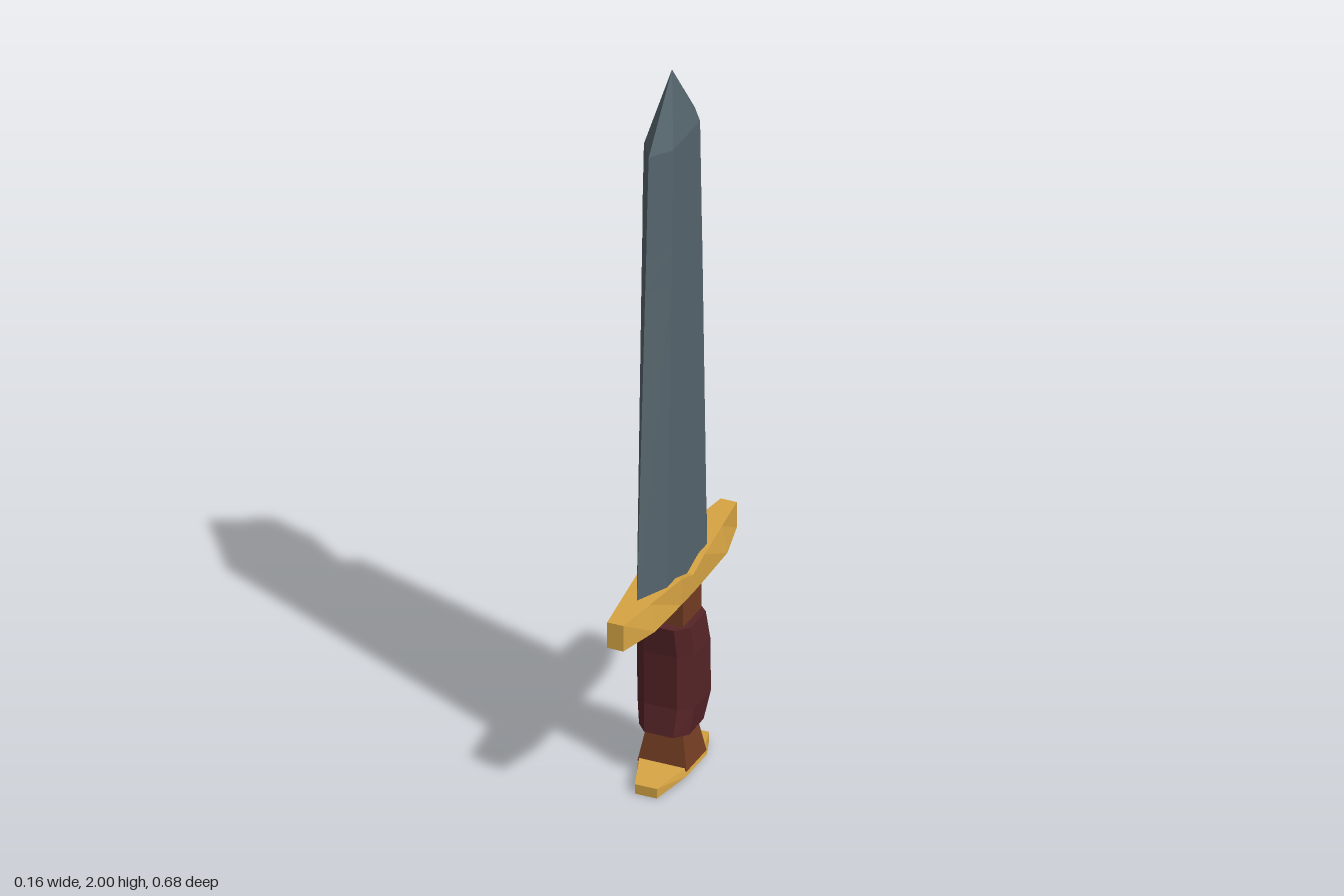
import * as THREE from 'three';

const material = (name, color) => {
  const m = new THREE.MeshStandardMaterial({ color, flatShading: true });
  m.name = name;
  return m;
};

// Skin a list of rings (counterclockwise seen from the end of the axis) and cap both ends.
function loft(rings) {
  const positions = [];
  const triangle = new THREE.Triangle();
  const add = (a, b, c) => {
    triangle.set(a, b, c);
    if (triangle.getArea() > 1e-8) for (const p of [a, b, c]) positions.push(p.x, p.y, p.z);
  };
  const n = rings[0].length;
  for (let i = 0; i < rings.length - 1; i++) {
    const lower = rings[i], upper = rings[i + 1];
    for (let j = 0; j < n; j++) {
      const k = (j + 1) % n;
      add(lower[j], lower[k], upper[k]);
      add(lower[j], upper[k], upper[j]);
    }
  }
  const first = rings[0], last = rings[rings.length - 1];
  for (let j = 1; j < n - 1; j++) {
    add(first[0], first[j + 1], first[j]);
    add(last[0], last[j], last[j + 1]);
  }
  const geometry = new THREE.BufferGeometry();
  geometry.setAttribute('position', new THREE.Float32BufferAttribute(positions, 3));
  geometry.computeVertexNormals();
  return geometry;
}

const v = (x, y, z) => new THREE.Vector3(x, y, z);

// Cross-sections
const bladeRing = ([y, hx, edgeF, flatF, flatB, edgeB]) => [
  v(0, y, edgeF), v(hx, y, flatF), v(hx, y, flatB),
  v(0, y, edgeB), v(-hx, y, flatB), v(-hx, y, flatF),
];
const boxRing = ([y, hx, hz]) => [v(-hx, y, hz), v(hx, y, hz), v(hx, y, -hz), v(-hx, y, -hz)];
const wrapRing = ([y, hx, front, back]) => {
  const f = front - 0.032, b = back + 0.03, c = hx * 0.58;
  return [
    v(-c, y, front), v(c, y, front), v(hx, y, f), v(hx, y, b),
    v(c, y, back), v(-c, y, back), v(-hx, y, b), v(-hx, y, f),
  ];
};
const barRing = ([z, bottomX, topX, bottom, top]) => [
  v(-bottomX, bottom, z), v(bottomX, bottom, z), v(topX, top, z), v(-topX, top, z),
];
// Mirror bar stations given from the centre outwards
const mirrorBar = (half) => [
  ...half.filter((s) => s[0] > 0).reverse().map(([z, ...rest]) => [-z, ...rest]),
  ...half,
].map(barRing);

export function createModel() {
  const group = new THREE.Group();
  group.name = 'dagger';
  const steel = material('steel', 0x55646c);
  const gold = material('gold', 0xd6a443);
  const wood = material('brown wood', 0x743d23);
  const leather = material('dark red leather', 0x562427);

  const addPart = (name, rings, mat) => {
    const mesh = new THREE.Mesh(loft(rings), mat);
    mesh.name = name;
    group.add(mesh);
  };

  // Tapered blade with a chip in its back edge
  addPart('blade', [
    [0.55, 0.041, 0.211, 0.12, -0.12, -0.211],
    [1.44, 0.041, 0.16, 0.092, -0.092, -0.157],
    [1.535, 0.041, 0.154, 0.088, -0.088, -0.108],
    [1.65, 0.041, 0.149, 0.086, -0.084, -0.146],
    [1.82, 0.04, 0.139, 0.08, -0.08, -0.136],
    [2.0, 0, 0, 0, 0, 0],
  ].map(bladeRing), steel);

  // Crossguard with a shallow dip in the middle
  addPart('crossguard', mirrorBar([
    [0, 0.058, 0.058, 0.515, 0.566],
    [0.068, 0.057, 0.057, 0.515, 0.588],
    [0.215, 0.053, 0.038, 0.515, 0.588],
    [0.338, 0.022, 0.022, 0.515, 0.588],
  ]), gold);

  // Handle core, flared at the bottom
  addPart('handle', [
    [0.035, 0.067, 0.06],
    [0.13, 0.05, 0.043],
    [0.43, 0.055, 0.055],
    [0.52, 0.055, 0.055],
  ].map(boxRing), wood);

  // Leather grip, bowed towards the back
  addPart('gripWrap', [
    [0.135, 0.068, 0.08, -0.07],
    [0.21, 0.078, 0.068, -0.092],
    [0.36, 0.078, 0.07, -0.088],
    [0.443, 0.073, 0.081, -0.072],
  ].map(wrapRing), leather);

  // Drooping pommel plate
  addPart('pommel', mirrorBar([
    [0.06, 0.067, 0.062, 0.022, 0.043],
    [0.156, 0.03, 0.03, 0, 0.027],
  ]), gold);

  return group;
}
